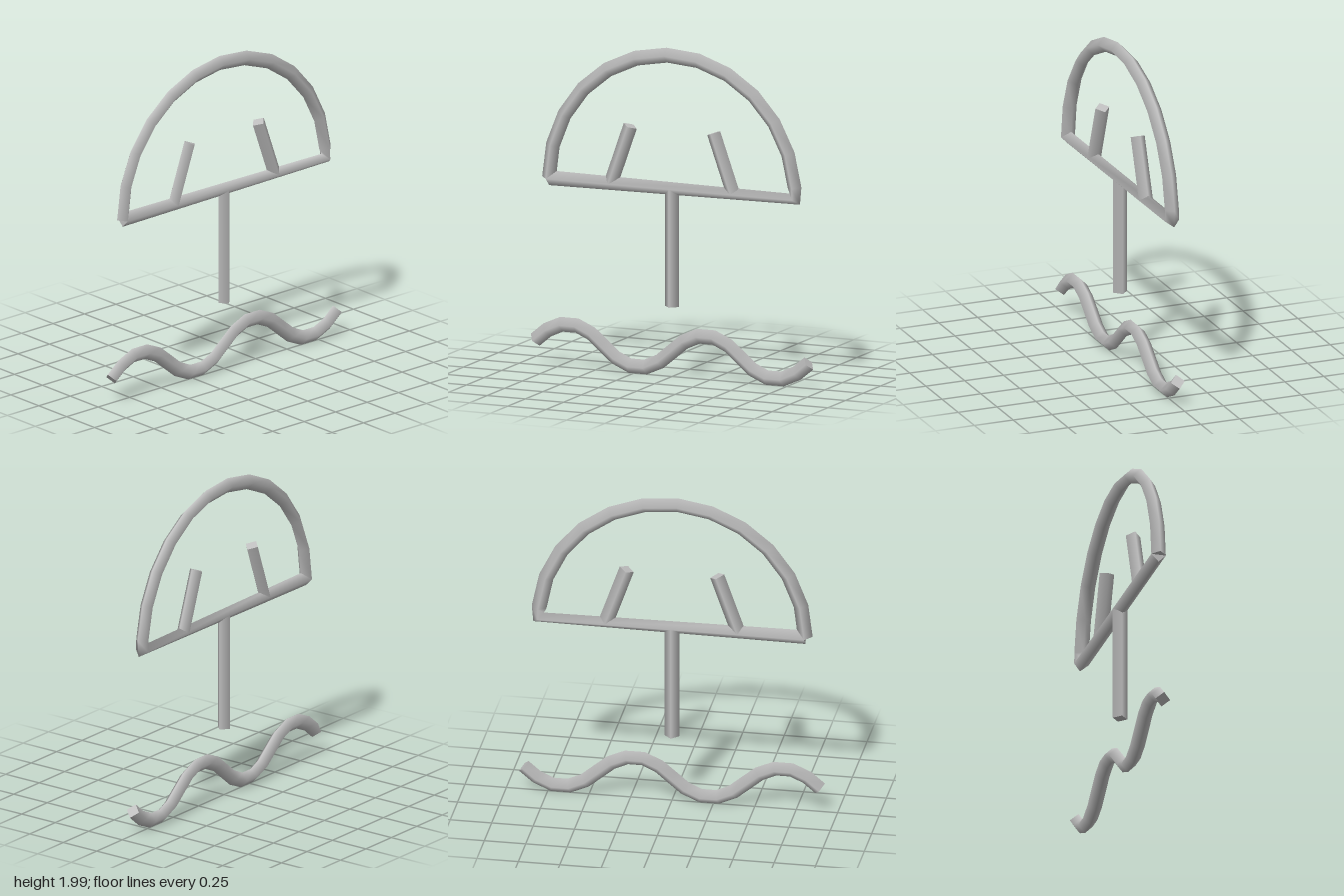
import * as THREE from 'three';

const RADIUS = 0.045;
const SIDES = 4;

// Diamond-section rod swept along a path in the x-y plane, with flat end caps
function rodGeometry(path) {
  const pos = [], nor = [], idx = [];
  const z = new THREE.Vector3(0, 0, 1);
  const last = path.length - 1;
  const dir = (i) => path[i + 1].clone().sub(path[i]).normalize();
  const ring = (i, capNormal) => {
    const t = new THREE.Vector3();
    if (i > 0) t.add(dir(i - 1));
    if (i < last) t.add(dir(i));
    t.normalize();
    const side = new THREE.Vector3().crossVectors(z, t);
    const start = pos.length / 3;
    for (let j = 0; j < SIDES; j++) {
      const a = (j / SIDES) * Math.PI * 2;
      const n = side.clone().multiplyScalar(Math.cos(a)).addScaledVector(z, Math.sin(a));
      pos.push(...path[i].clone().addScaledVector(n, RADIUS).toArray());
      nor.push(...(capNormal ? t.clone().multiplyScalar(capNormal) : n).toArray());
    }
    return start;
  };
  path.forEach((_, i) => ring(i));
  for (let i = 0; i < last; i++) {
    for (let j = 0; j < SIDES; j++) {
      const a = i * SIDES + j, d = i * SIDES + ((j + 1) % SIDES);
      const b = a + SIDES, c = d + SIDES;
      idx.push(a, d, b, d, c, b);
    }
  }
  const s = ring(0, -1);
  idx.push(s, s + 3, s + 2, s, s + 2, s + 1);
  const e = ring(last, 1);
  idx.push(e, e + 1, e + 2, e, e + 2, e + 3);

  const g = new THREE.BufferGeometry();
  g.setAttribute('position', new THREE.Float32BufferAttribute(pos, 3));
  g.setAttribute('normal', new THREE.Float32BufferAttribute(nor, 3));
  g.setIndex(idx);
  return g;
}

export function createModel() {
  const group = new THREE.Group();
  const grey = new THREE.MeshStandardMaterial({ color: 0xbfbfbf });
  grey.name = 'light grey';

  const v = (x, y) => new THREE.Vector3(x, y, 0);
  const addRod = (name, path) => {
    const mesh = new THREE.Mesh(rodGeometry(path), grey);
    mesh.name = name;
    group.add(mesh);
  };

  // Half-round outline: arc from left to right, then the straight base back
  const baseY = 1.15, arcR = 0.805, step = THREE.MathUtils.degToRad(14.6);
  const dome = [];
  for (let i = 0; i <= 12; i++) {
    dome.push(v(-arcR * Math.cos(i * step), baseY + arcR * Math.sin(i * step)));
  }
  dome.push(v(arcR, baseY), v(-arcR, baseY));
  addRod('domeOutline', dome);

  // Two slanted strokes inside the outline
  for (const s of [1, -1]) {
    addRod(s > 0 ? 'leftStroke' : 'rightStroke', [v(s * 0.4, baseY), v(s * 0.273, 1.507)]);
  }

  // Post hanging below the base
  addRod('post', [v(0, baseY), v(0, 0.435)]);

  // Wavy line made of four parabolic arcs
  const wave = new THREE.CurvePath();
  const half = 0.4475, midY = 0.162;
  for (let i = 0; i < 4; i++) {
    const x = (i - 2) * half;
    const peak = midY + (i % 2 ? -1 : 1) * 0.226;
    wave.add(new THREE.QuadraticBezierCurve3(v(x, midY), v(x + half / 2, peak), v(x + half, midY)));
  }
  addRod('waveLine', wave.getSpacedPoints(20));

  return group;
}
